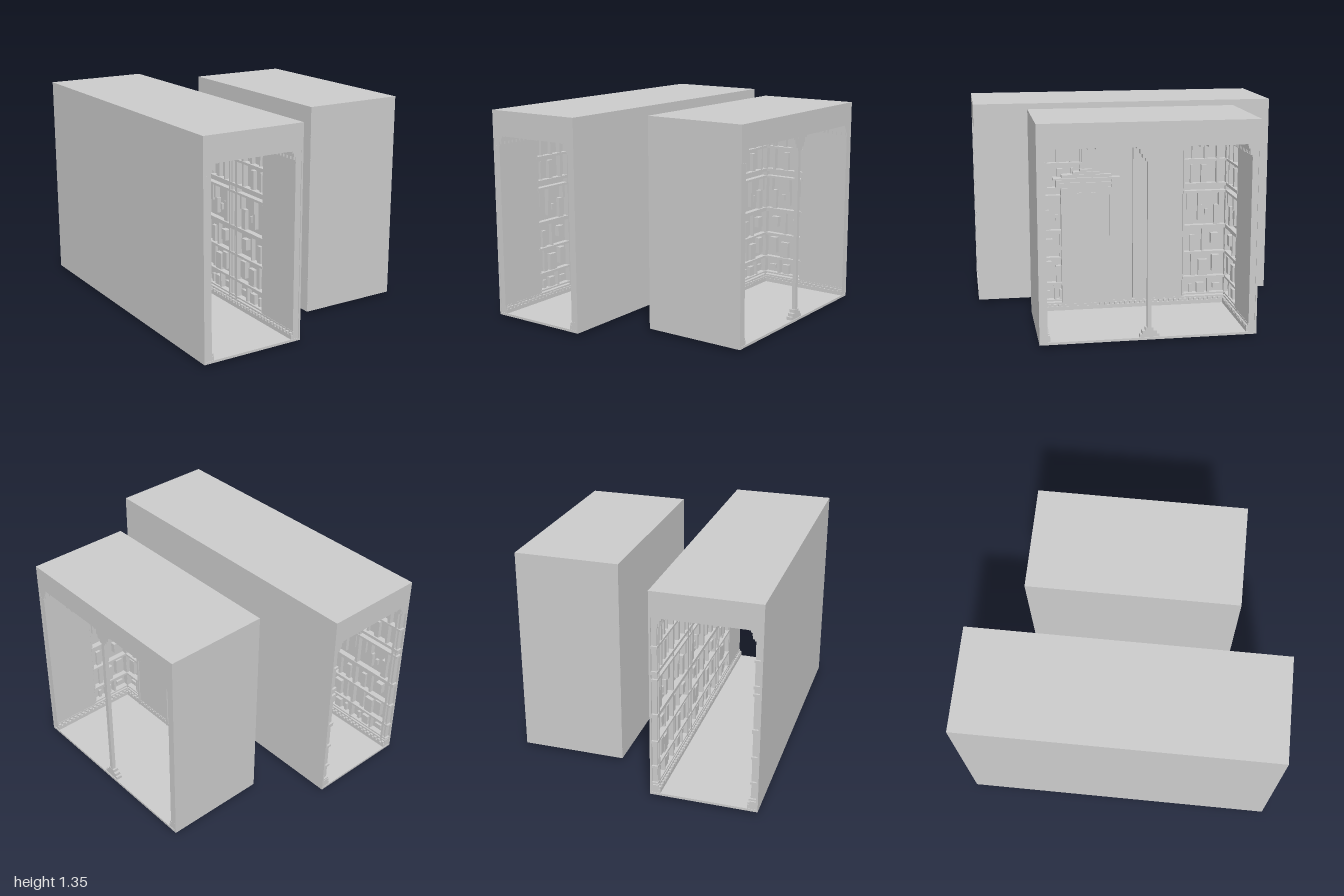
import * as THREE from 'three';
import { mergeGeometries } from 'three/addons/utils/BufferGeometryUtils.js';

const material = new THREE.MeshStandardMaterial({ color: 0xcccccc, flatShading: true });
const FLOOR = 0.035, CEILING = 1.203, TILE = 1 / 3;

// box from its limits on each axis
function box(x0, x1, y0, y1, z0, z1) {
  return new THREE.BoxGeometry(x1 - x0, y1 - y0, z1 - z0)
    .translate((x0 + x1) / 2, (y0 + y1) / 2, (z0 + z1) / 2);
}

function part(name, boxes) {
  const mesh = new THREE.Mesh(mergeGeometries(boxes), material);
  mesh.name = name;
  return mesh;
}

// horizontal rails of a decorated tile: [y0, y1]
const RAILS = [[0.095, 0.105], [0.205, 0.22], [0.375, 0.39], [0.545, 0.57],
  [0.785, 0.8], [0.83, 0.85], [0.995, 1.01]];

// raised blocks of a decorated tile: [u0, u1, y0, y1]
const BLOCKS = [
  [0.05, 0.065, 1.01, 1.12], [0.13, 0.15, 1.01, 1.12], [0.21, 0.23, 1.01, 1.12],
  [0.04, 0.055, 0.85, 0.97], [0.11, 0.145, 0.85, 0.97], [0.21, 0.225, 0.85, 0.995],
  [0.02, 0.05, 0.67, 0.785], [0.09, 0.12, 0.6, 0.7], [0.09, 0.11, 0.7, 0.785],
  [0.14, 0.16, 0.63, 0.67], [0.2, 0.24, 0.57, 0.7], [0.23, 0.25, 0.7, 0.785],
  [0.04, 0.075, 0.39, 0.5], [0.12, 0.135, 0.39, 0.545], [0.18, 0.23, 0.44, 0.51],
  [0.05, 0.08, 0.22, 0.37], [0.1, 0.16, 0.22, 0.33], [0.19, 0.24, 0.25, 0.36],
  [0.04, 0.06, 0.105, 0.16], [0.09, 0.14, 0.105, 0.17], [0.16, 0.175, 0.105, 0.205],
  [0.2, 0.25, 0.13, 0.16]];

// relief of rails, stiles and blocks; u runs across the tile
function decoratedTile(centre, flip) {
  const at = (u0, u1, y0, y1, depth) => {
    const a = centre + flip * (u0 - TILE / 2), b = centre + flip * (u1 - TILE / 2);
    return box(Math.min(a, b), Math.max(a, b), y0, y1, 0.008, depth);
  };
  return [
    ...RAILS.map(([a, b]) => at(0, TILE, a, b, 0.05)),
    ...BLOCKS.map(([u0, u1, a, b], i) => at(u0 + 0.01, u1 + 0.01, a, b, 0.03 + 0.008 * (i % 3))),
    at(0.285, 0.3, FLOOR, 1.15, 0.05),
    at(0.308, 0.32, FLOOR, 1.15, 0.045),
    at(0, 0.01, FLOOR, 1.15, 0.045),
  ];
}

// wall lying on local z = 0 and facing +z; pattern has p (plain) and d (decorated, D mirrored)
function wall(name, pattern) {
  const group = new THREE.Group();
  group.name = name;
  const half = pattern.length * TILE / 2, end = half - 0.003;
  group.add(part('wallSheet', [box(-half, half, 0.02, 1.21, 0, 0.012)]));
  const plain = [], relief = [], trim = [], teeth = [];
  [...pattern].forEach((kind, i) => {
    const c = -half + (i + 0.5) * TILE;
    if (kind === 'p') plain.push(box(c - TILE / 2 + 0.002, c + TILE / 2 - 0.004, 0.085, 1.125, 0.008, 0.05));
    else relief.push(...decoratedTile(c, kind === 'd' ? 1 : -1));
  });
  if (plain.length) group.add(part('plainPanels', plain));
  group.add(part('wallRelief', relief));
  // crown and skirting, each a stepped strip with a row of teeth
  trim.push(box(-end, end, 1.155, 1.19, 0.008, 0.065), box(-end, end, 1.125, 1.155, 0.008, 0.052),
    box(-end, end, 1.175, CEILING, 0.008, 0.075),
    box(-end, end, FLOOR - 0.005, 0.06, 0.008, 0.065), box(-end, end, 0.06, 0.085, 0.008, 0.052));
  const count = pattern.length * 10;
  for (let i = 0; i < count; i++) {
    const x = -half + (i + 0.5) * 2 * half / count;
    teeth.push(box(x - 0.009, x + 0.009, 1.135, 1.16, 0.01, 0.065),
      box(x - 0.009, x + 0.009, 0.055, 0.075, 0.01, 0.065));
  }
  group.add(part('crownAndSkirting', trim), part('trimTeeth', teeth));
  return group;
}

function place(object, x, z, turn) {
  object.position.set(x, 0, z);
  object.rotation.y = turn;
  return object;
}

// floor, solid roof and ceiling beams shared by both halls
function shell(name, x0, x1, z0, z1, modules) {
  const group = new THREE.Group();
  group.name = name;
  group.add(part('floor', [box(x0, x1, 0.02, FLOOR, z0, z1)]));
  group.add(part('roof', [box(x0, x1, CEILING, 1.35, z0, z1)]));
  const beams = [], mid = (x0 + x1) / 2, step = (z1 - z0) / modules;
  for (const dx of [-0.245, -0.025, 0.025, 0.245])
    beams.push(box(mid + dx - 0.01, mid + dx + 0.01, 1.187, CEILING + 0.003, z0 + 0.004, z1 - 0.004));
  for (let m = 0; m < modules; m++) {
    for (const dz of [-0.265, -0.025, 0.025, 0.265]) {
      const z = z0 + (m + 0.5) * step + dz;
      beams.push(box(x0 + 0.01, x1 - 0.004, 1.19, CEILING + 0.003, z - 0.01, z + 0.01));
    }
  }
  // edge beams between modules
  for (let m = 0; m <= modules; m++) {
    const z = z0 + m * step;
    beams.push(box(x0 + 0.01, x1 - 0.004, 1.19, CEILING + 0.003,
      Math.max(z0, z - 0.02), Math.min(z1, z + 0.02)));
  }
  group.add(part('ceilingBeams', beams));
  return group;
}

// doorway with jambs, cornice and stepped pediment, facing local +z
function doorway() {
  const group = new THREE.Group();
  group.name = 'doorway';
  const sym = (w, y0, y1, z1) => box(-w, w, y0, y1, 0.008, z1);
  group.add(part('doorPanel', [sym(0.15, FLOOR - 0.01, 0.82, 0.06)]));
  const jambs = [], feet = [], brackets = [];
  for (const s of [-1, 1]) {
    const span = (a, b, y0, y1, z0, z1) =>
      box(Math.min(s * a, s * b), Math.max(s * a, s * b), y0, y1, z0, z1);
    jambs.push(span(0.148, 0.163, FLOOR - 0.01, 0.82, 0.008, 0.068));
    brackets.push(span(0.12, 0.165, 0.8, 0.85, 0.008, 0.08), span(0.16, 0.195, 0.85, 0.9, 0.008, 0.08),
      span(0.03, 0.06, 0.8, 0.815, 0.008, 0.075));
    feet.push(span(0.035, 0.135, 0, 0.025, 0.034, 0.049));
  }
  group.add(part('doorJambs', jambs), part('doorBrackets', brackets), part('doorFeet', feet));
  group.add(part('doorCornice', [
    sym(0.16, 0.82, 0.87, 0.07), sym(0.18, 0.87, 0.885, 0.085), sym(0.16, 0.885, 0.905, 0.075),
    sym(0.215, 0.905, 0.917, 0.095), sym(0.16, 0.917, 0.935, 0.08),
    sym(0.085, 0.935, 0.952, 0.075), sym(0.04, 0.952, 0.968, 0.07)]));
  return group;
}

// thin post in the middle of the open side, with stepped ends
function post() {
  const ends = [[0.06, FLOOR, 0.055], [0.045, 0.055, 0.075], [0.025, 0.075, 0.095],
    [0.025, 1.115, 1.135], [0.045, 1.135, 1.16], [0.06, 1.16, CEILING]];
  return part('middlePost', [box(0.785, 0.81, FLOOR, CEILING, -0.012, 0.014),
    ...ends.map(([w, a, b]) => box(0.775, 0.812, a, b, -w, w))]);
}

export function createModel() {
  const model = new THREE.Group();
  const Q = Math.PI / 2;

  // long hall, open at both ends
  const long = shell('longHall', -0.817, -0.15, -1, 1, 3);
  long.add(place(wall('outerWall', 'pdDdDd'), -0.817, 0, Q),
    place(wall('innerWall', 'DdDdDp'), -0.15, 0, -Q));

  // short hall, open on one side
  const short = shell('shortHall', 0.15, 0.817, -0.667, 0.667, 2);
  short.add(place(wall('backWall', 'Dppd'), 0.15, 0, Q),
    place(wall('frontEndWall', 'pd'), 0.4835, 0.667, Math.PI),
    place(wall('rearEndWall', 'Dp'), 0.4835, -0.667, 0),
    place(doorway(), 0.15, 0.305, Q), post());

  model.add(long, short);
  return model;
}
